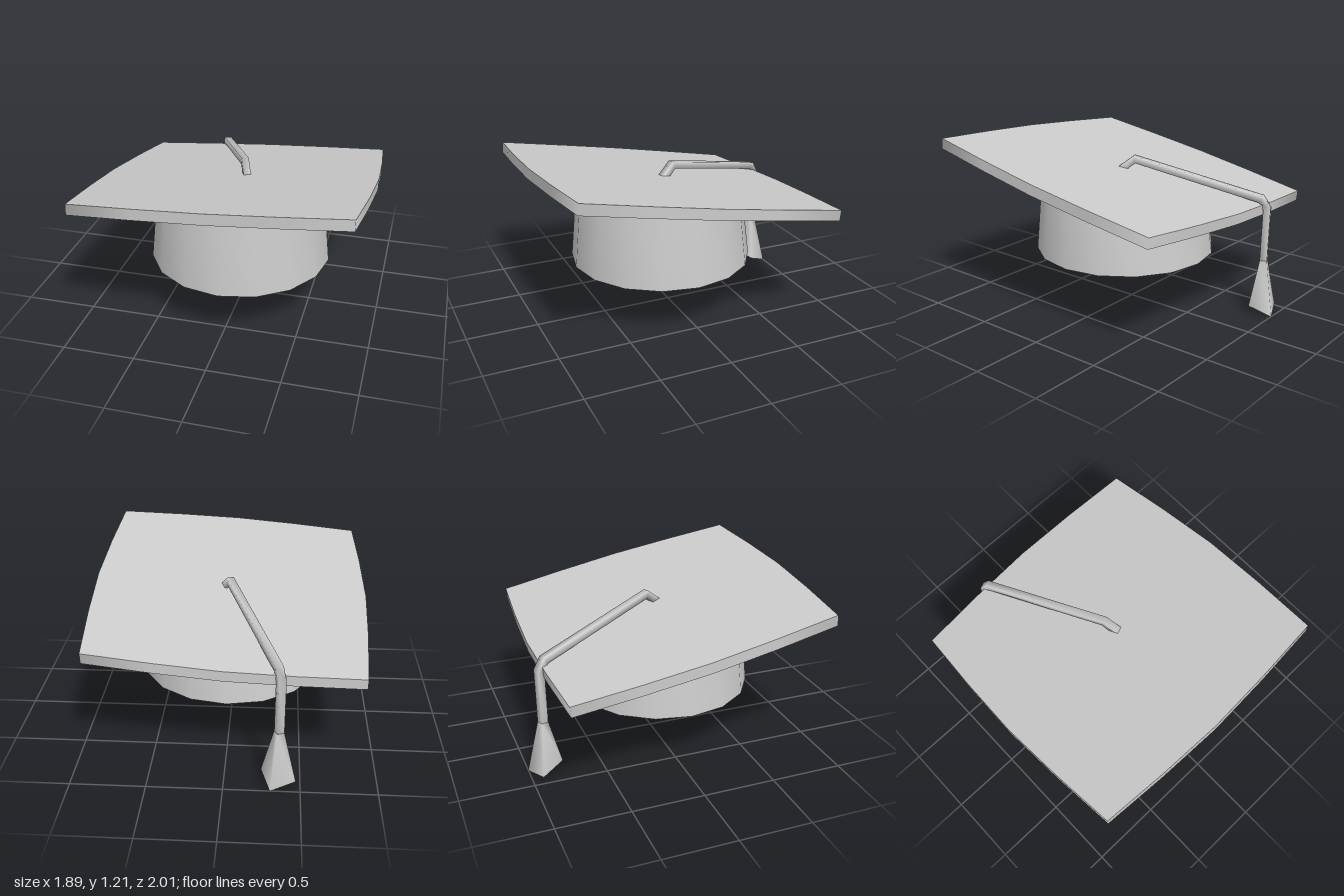
import * as THREE from 'three';
import { toCreasedNormals } from 'three/addons/utils/BufferGeometryUtils.js';

const material = new THREE.MeshStandardMaterial({ color: 0xcccccc });

// Height of the tilted underside of the board
const underside = (x, z) => 0.897 + 0.071 * x + 0.1816 * z;

function part(name, geometry) {
  const mesh = new THREE.Mesh(geometry, material);
  mesh.name = name;
  return mesh;
}

// Move every vertex by a rule
function reshape(geometry, rule) {
  const p = geometry.attributes.position;
  const v = new THREE.Vector3();
  for (let i = 0; i < p.count; i++) {
    rule(v.fromBufferAttribute(p, i));
    p.setXYZ(i, v.x, v.y, v.z);
  }
  return geometry;
}

// Square board with gently bowed sides, sheared onto the tilted plane
function boardGeometry() {
  const points = [];
  const half = 0.897, bow = 0.047, steps = 4;
  for (let side = 0; side < 4; side++) {
    for (let i = 0; i < steps; i++) {
      const t = (2 * i) / steps - 1;
      const p = new THREE.Vector2(half * t, -half - bow * (1 - Math.abs(t) ** 1.5));
      points.push(p.rotateAround(new THREE.Vector2(), (side * Math.PI) / 2));
    }
  }
  const geometry = new THREE.ExtrudeGeometry(new THREE.Shape(points), { depth: 0.075, bevelEnabled: false });
  geometry.rotateX(-Math.PI / 2);
  reshape(geometry, (v) => {
    v.z += 0.06 - 0.1 * v.y;
    v.y += underside(v.x, v.z);
  });
  geometry.computeVertexNormals();

  // The rim shades smoothly around the corners, the faces stay flat
  const { position, normal } = geometry.attributes;
  const n = new THREE.Vector3();
  for (let i = 0; i < position.count; i++) {
    if (Math.abs(normal.getY(i)) > 0.7) continue;
    n.set(position.getX(i) ** 5, 0, (position.getZ(i) - 0.055) ** 5).normalize();
    normal.setXYZ(i, n.x, n.y, n.z);
  }
  return geometry;
}

// Hollow tapered band: ceiling, inner wall, lower rim and an outer wall that meets the board
function bandGeometry() {
  const drop = 0.12;
  const profile = [[0, 0.9 - drop], [0.5, 0.9 - drop], [0.55, 0.385], [0.64, 0.385], [0.583, 0.9]];
  const geometry = new THREE.LatheGeometry(profile.map(([r, y]) => new THREE.Vector2(r, y)), 16);
  geometry.translate(0, 0, 0.06);
  reshape(geometry, (v) => {
    if (v.y > 0.85) v.y = underside(v.x, v.z) + 0.002;
    else if (v.y > 0.5) v.y = underside(v.x, v.z) - drop;
  });
  return toCreasedNormals(geometry, 0.6);
}

// Four-sided loft in the vertical plane of the cord.
// Ring: [distance, height, outward distance, outward height, half width, sideways tilt]
function loftGeometry(rings) {
  const along = new THREE.Vector3(-0.387, 0, -0.922);
  const across = new THREE.Vector3(0.922, 0, -0.387);
  const position = [], index = [];
  const addRing = ([s, y, ws, wy, half, tilt]) => {
    for (const [a, b] of [[1, 1], [-1, 1], [-1, -1], [1, -1]]) {
      const p = new THREE.Vector3(0.043, y + b * wy + a * tilt, 0.06);
      p.addScaledVector(along, s + b * ws).addScaledVector(across, a * half);
      position.push(p.x, p.y, p.z);
    }
  };
  rings.forEach(addRing);
  for (let r = 0; r < rings.length - 1; r++) {
    for (let i = 0; i < 4; i++) {
      const a = r * 4 + i, b = r * 4 + ((i + 1) % 4);
      index.push(a, b + 4, b, a, a + 4, b + 4);
    }
  }
  // End caps with their own vertices stay flat
  const cap = rings.length * 4;
  addRing(rings[0]);
  addRing(rings[rings.length - 1]);
  index.push(cap, cap + 1, cap + 2, cap, cap + 2, cap + 3);
  index.push(cap + 4, cap + 6, cap + 5, cap + 4, cap + 7, cap + 6);

  const geometry = new THREE.BufferGeometry();
  geometry.setAttribute('position', new THREE.Float32BufferAttribute(position, 3));
  geometry.setIndex(index);
  geometry.computeVertexNormals();
  return geometry;
}

export function createModel() {
  const group = new THREE.Group();
  group.name = 'graduationCap';

  const neck = [1.031, 0.385, 0.025, 0, 0.025, 0];
  const cord = [
    [-0.008, 0.96, -0.016, 0.019, 0.025, 0],
    [0.1, 1.043, -0.008, 0.026, 0.025, 0],
    [0.995, 0.825, 0.015, 0.022, 0.025, 0],
    [1.037, 0.76, 0.025, 0.007, 0.025, 0],
    neck,
  ];
  const tassel = [neck, [1.033, 0.047, 0.081, -0.032, 0.09, -0.015]];

  group.add(
    part('board', boardGeometry()),
    part('headBand', bandGeometry()),
    part('cord', loftGeometry(cord)),
    part('tassel', loftGeometry(tassel)),
  );
  return group;
}
